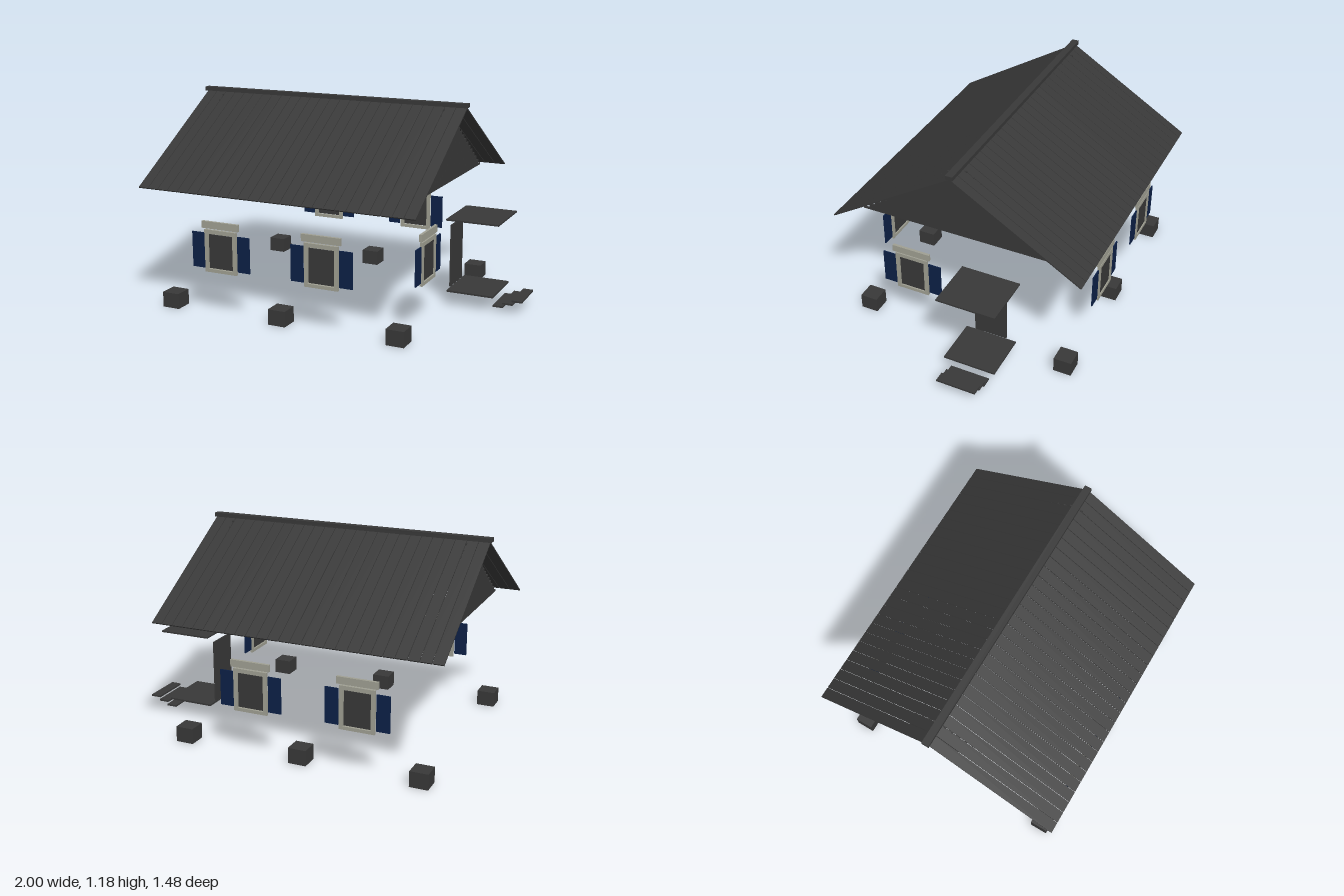
import * as THREE from 'three';

const mat = (name, color) => Object.assign(new THREE.MeshStandardMaterial({ color }), { name });

export function createModel() {
  const charcoal = mat('charcoal timber', 0x383838);
  const stone = mat('pale trim', 0x9f9f92);
  const navy = mat('navy shutter', 0x0c2046);

  const model = new THREE.Group();
  model.name = 'cabin';

  const group = (name, parent = model) => {
    const g = new THREE.Group();
    g.name = name;
    parent.add(g);
    return g;
  };
  // Box given by its lower and upper limits on each axis
  const box = (parent, name, m, [x0, x1], [y0, y1], [z0, z1]) => {
    const mesh = new THREE.Mesh(new THREE.BoxGeometry(x1 - x0, y1 - y0, z1 - z0), m);
    mesh.position.set((x0 + x1) / 2, (y0 + y1) / 2, (z0 + z1) / 2);
    mesh.name = name;
    parent.add(mesh);
    return mesh;
  };

  // Roof: two slopes of narrow boards under a ridge cap
  const roof = group('roof');
  const boards = 26, pitch = 1.66 / boards;
  const run = 0.738, rise = 0.449;
  const slope = Math.atan2(rise, run), length = Math.hypot(run, rise);
  for (const side of [1, -1]) {
    for (let i = 0; i < boards; i++) {
      const board = new THREE.Mesh(new THREE.BoxGeometry(pitch - 0.003, 0.007, length), charcoal);
      board.name = 'roofBoard';
      board.position.set(-0.99 + (i + 0.5) * pitch, 0.71 + rise / 2, side * run / 2);
      board.rotation.x = side * slope;
      roof.add(board);
    }
  }
  box(roof, 'ridgeCap', charcoal, [-1, 0.675], [1.162, 1.185], [-0.021, 0.021]);

  // Gables: stepped upright planks
  for (const x of [-0.865, 0.545]) {
    const gable = group('gable');
    const w = 0.0387;
    for (let i = 0; i < 16; i++) {
      const top = 1.15 - i * 0.0279;
      for (const s of [0, 1]) {
        const z0 = s ? i * w : -(i + 1) * w;
        box(gable, 'gablePlank', charcoal, [x - 0.004, x + 0.004], [0.72, top], [z0 + 0.0004, z0 + w - 0.0004]);
      }
    }
  }

  // Foundation blocks
  for (const x of [-0.855, -0.165, 0.535]) {
    for (const z of [-0.62, 0.62]) {
      box(model, 'foundationBlock', charcoal, [x - 0.052, x + 0.052], [0, 0.089], [z - 0.052, z + 0.052]);
    }
  }

  // Windows: frame with pane, head board, shutters and inner knob, facing local +z
  const addWindow = (x, z, turn) => {
    const win = group('window');
    const rect = (s, w, y0, y1) => s.moveTo(-w, y0).lineTo(w, y0).lineTo(w, y1).lineTo(-w, y1).closePath();
    const outline = rect(new THREE.Shape(), 0.1, 0.253, 0.497);
    outline.holes.push(rect(new THREE.Path(), 0.078, 0.272, 0.474));
    const frame = new THREE.Mesh(
      new THREE.ExtrudeGeometry(outline, { depth: 0.016, bevelEnabled: false }), stone);
    frame.name = 'windowFrame';
    frame.position.z = -0.008;
    win.add(frame);
    box(win, 'windowPane', charcoal, [-0.074, 0.074], [0.276, 0.47], [-0.003, 0.003]);
    box(win, 'windowHead', stone, [-0.116, 0.116], [0.504, 0.544], [-0.008, 0.008]);
    box(win, 'windowKnob', charcoal, [-0.004, 0.004], [0.372, 0.379], [-0.014, -0.003]);
    for (const s of [-1, 1]) {
      box(win, 'shutter', navy, [s * 0.1445 - 0.038, s * 0.1445 + 0.038], [0.273, 0.476], [-0.0035, 0.0035]);
    }
    win.position.set(x, 0, z);
    win.rotation.y = turn;
  };
  for (const x of [-0.51, 0.11]) {
    addWindow(x, 0.666, 0);
    addWindow(x, -0.666, Math.PI);
  }
  addWindow(0.575, 0.312, Math.PI / 2);

  // Entrance: door, canopy, landing and three thin treads
  box(model, 'door', charcoal, [0.56, 0.569], [0.103, 0.47], [-0.27, -0.077]);
  box(model, 'canopy', charcoal, [0.56, 0.868], [0.515, 0.524], [-0.348, 0]);
  box(model, 'landing', charcoal, [0.565, 0.84], [0.088, 0.098], [-0.328, -0.02]);
  [[0.83, 0.03], [0.885, 0.052], [0.94, 0.074]].forEach(([x, y]) => {
    box(model, 'stepTread', charcoal, [x, x + 0.06], [y - 0.005, y + 0.005], [-0.29, -0.058]);
  });

  return model;
}
